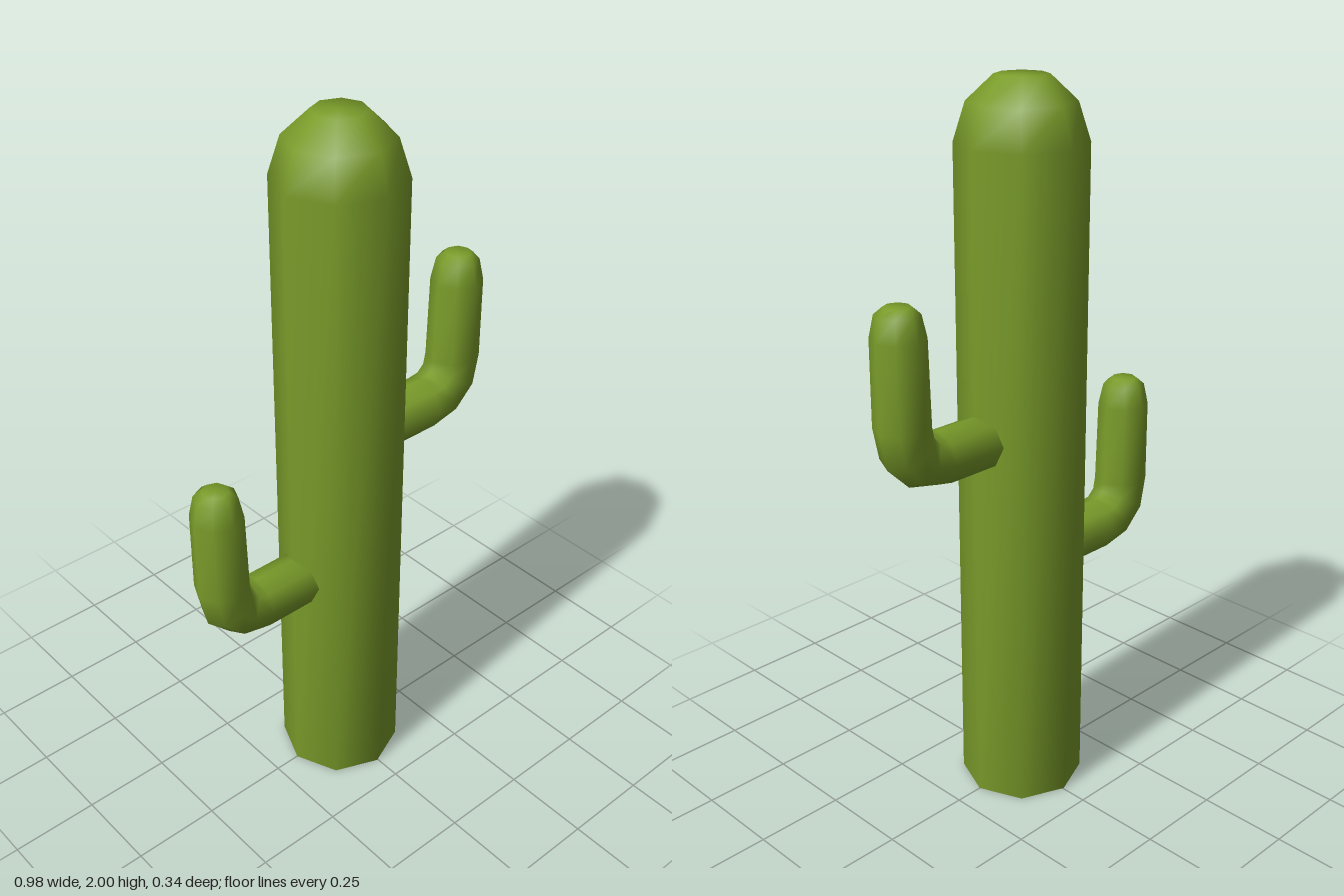
import * as THREE from 'three';

const SIDES = 8;

// Closed smooth tube through rings [x, y, radius, heading in degrees] lying in the xy plane
function sweep(rings) {
  const pos = [], index = [];
  for (const [x, y, r, deg] of rings) {
    const a = THREE.MathUtils.degToRad(deg);
    for (let j = 0; j < SIDES; j++) {
      const t = (j / SIDES) * Math.PI * 2;
      const u = r * Math.cos(t);
      pos.push(x + u * Math.sin(a), y - u * Math.cos(a), r * Math.sin(t));
    }
  }
  const last = rings.length - 1;
  const startCentre = pos.length / 3, endCentre = startCentre + 1;
  pos.push(rings[0][0], rings[0][1], 0, rings[last][0], rings[last][1], 0);
  for (let j = 0; j < SIDES; j++) {
    const k = (j + 1) % SIDES;
    for (let i = 0; i < last; i++) {
      const a = i * SIDES + j, b = i * SIDES + k;
      index.push(a, a + SIDES, b, b, a + SIDES, b + SIDES);
    }
    index.push(startCentre, j, k);
    index.push(endCentre, last * SIDES + k, last * SIDES + j);
  }
  const geo = new THREE.BufferGeometry();
  geo.setAttribute('position', new THREE.Float32BufferAttribute(pos, 3));
  geo.setIndex(index);
  geo.computeVertexNormals();
  return geo;
}

export function createModel() {
  const cactus = new THREE.Group();
  cactus.name = 'cactus';
  const green = new THREE.MeshStandardMaterial({ color: 0x7a9c2a });

  // Trunk with a rounded crown
  const trunk = new THREE.Mesh(sweep([
    [0, 0, 0.172, 90],
    [0, 1.835, 0.172, 90],
    [0, 1.935, 0.14, 90],
    [0, 2, 0.07, 90],
  ]), green);
  trunk.name = 'trunk';
  trunk.position.x = -0.003;
  cactus.add(trunk);

  // Elbowed arm, height measured from the middle of its horizontal part
  const armGeometry = sweep([
    [0.1, 0, 0.075, 0],
    [0.3, 0, 0.075, 0],
    [0.36, 0.012, 0.075, 30],
    [0.401, 0.051, 0.075, 60],
    [0.414, 0.114, 0.074, 90],
    [0.417, 0.345, 0.071, 90],
    [0.417, 0.405, 0.058, 90],
    [0.417, 0.424, 0.035, 90],
  ]);
  for (const [name, y, turn] of [['leftArm', 1.076, 0], ['rightArm', 0.69, Math.PI]]) {
    const arm = new THREE.Mesh(armGeometry, green);
    arm.name = name;
    arm.position.y = y;
    arm.rotation.y = turn;
    cactus.add(arm);
  }
  return cactus;
}
